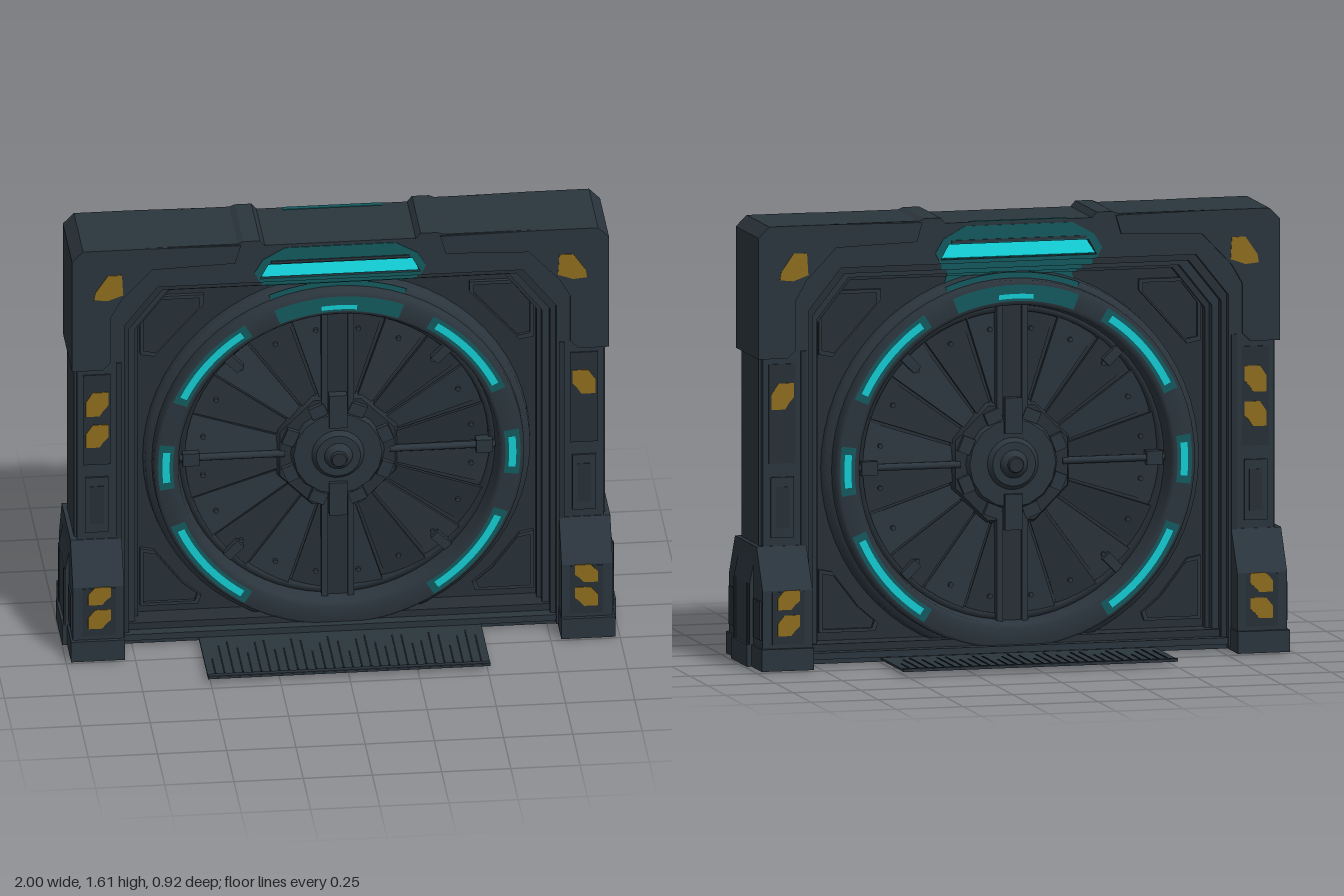
import * as THREE from 'three';

const material = (name, color) => {
  const m = new THREE.MeshStandardMaterial({ color });
  m.name = name;
  return m;
};

export function createModel() {
  const hull = material('dark hull', 0x2b353d);
  const panel = material('panel steel', 0x262f36);
  const groove = material('groove black', 0x14191d);
  const cyan = material('cyan light', 0x13cad1);
  const glow = material('dim teal glow', 0x13595d);
  const yellow = material('worn yellow', 0x8c6b1e);

  const root = new THREE.Group();
  root.name = 'blastGate';

  const add = (parent, name, geo, mat, x = 0, y = 0, z = 0) => {
    const m = new THREE.Mesh(geo, mat);
    m.name = name;
    m.position.set(x, y, z);
    parent.add(m);
    return m;
  };
  const box = (parent, name, mat, w, h, d, x, y, z) =>
    add(parent, name, new THREE.BoxGeometry(w, h, d), mat, x, y, z);
  // Outline extruded from z0 to z1, with an optional hole
  const prism = (pts, z0, z1, hole) => {
    const s = new THREE.Shape(pts.map(([x, y]) => new THREE.Vector2(x, y)));
    if (hole) s.holes.push(new THREE.Path(hole.map(([x, y]) => new THREE.Vector2(x, y))));
    const g = new THREE.ExtrudeGeometry(s, { depth: z1 - z0, bevelEnabled: false });
    return g.translate(0, 0, z0);
  };
  const flip = (pts, s) => pts.map(([x, y]) => [x * s, y]);
  const both = (pts) => [...pts, ...flip(pts, -1).reverse()];
  const shrink = (pts, k) => {
    const cx = pts.reduce((a, p) => a + p[0], 0) / pts.length;
    const cy = pts.reduce((a, p) => a + p[1], 0) / pts.length;
    return pts.map(([x, y]) => [cx + (x - cx) * k, cy + (y - cy) * k]);
  };
  // Half of the chamfered doorway, from foot to lintel
  const opening = (w, h) => [[w, 0.01], [w, h - 0.15], [w - 0.12, h]];
  const arch = (outer, inner) => [...both(outer), ...both(inner).reverse()];
  const lampSlot = both([[0.29, 1.455], [0.26, 1.51]]);

  // Outer frame with a lamp slot, three stepped liners and the deep-set wall
  add(root, 'outerFrame', prism(arch(
    [[0.95, 0.01], [0.95, 1.5], [0.9, 1.588]], opening(0.78, 1.44)), -0.147, 0.147, lampSlot), hull);
  box(root, 'lampSlotBack', glow, 0.6, 0.08, 0.23, 0, 1.483, 0);
  add(root, 'frameStepOuter', prism(arch(opening(0.79, 1.45), opening(0.76, 1.415)), -0.122, 0.122), panel);
  add(root, 'frameStepMiddle', prism(arch(opening(0.77, 1.43), opening(0.735, 1.395)), -0.085, 0.085), hull);
  add(root, 'frameStepInner', prism(arch(opening(0.745, 1.405), opening(0.72, 1.38)), -0.045, 0.045), panel);
  add(root, 'doorWall', prism(both(opening(0.76, 1.42)), -0.01, 0.01), panel);
  box(root, 'sill', hull, 1.6, 0.024, 0.28, 0, 0.032, 0);
  box(root, 'sillStep', panel, 1.52, 0.03, 0.2, 0, 0.055, 0);
  for (const z of [-0.11, 0, 0.11]) box(root, 'sillRail', hull, 1.56, 0.018, 0.035, 0, 0.012, z);

  for (const s of [1, -1]) {
    // Armoured upper corner
    add(root, 'cornerBlock', prism(flip([[0.97, 1.12], [0.97, 1.56], [0.93, 1.6], [0.72, 1.6],
      [0.36, 1.595], [0.38, 1.525], [0.68, 1.515], [0.79, 1.4], [0.83, 1.33], [0.83, 1.15], [0.86, 1.12]], s),
    -0.157, 0.157), hull);
    add(root, 'beamClamp', prism(flip([[0.27, 1.585], [0.29, 1.608], [0.35, 1.608], [0.37, 1.6], [0.72, 1.6],
      [0.72, 1.585]], s), -0.15, 0.15), hull);
    // Splayed foot
    const foot = prism(both([[0.235, 0.03], [0.235, 0.29], [0.15, 0.44]]), -0.0925, 0.0925).rotateY(Math.PI / 2);
    add(root, 'foot', foot, hull, s * 0.8825, 0, 0);
    add(root, 'sideButtress', prism(flip([[0.9, 0], [0.99, 0], [0.99, 0.3], [0.965, 0.43], [0.9, 0.43]], s),
      -0.11, 0.11), hull);
    box(root, 'footPad', hull, 0.195, 0.08, 0.5, s * 0.885, 0.04, 0);
    box(root, 'footCap', hull, 0.1, 0.08, 0.22, s * 0.95, 0.04, 0);
    box(root, 'columnSidePlate', hull, 0.012, 0.68, 0.24, s * 0.953, 0.78, 0);
    for (const z of [-1, 1]) {
      box(root, 'footSidePanel', panel, 0.012, 0.14, 0.09, s * 0.975, 0.18, z * 0.17);
      box(root, 'buttressRib', panel, 0.012, 0.3, 0.025, s * 0.988, 0.15, z * 0.09);
    }
  }
  // Light spill on the top
  box(root, 'topSpill', glow, 0.36, 0.004, 0.02, 0, 1.588, -0.137);

  const cy = 0.695;
  const ringSeg = (parent, name, mat, r0, r1, mid, half, z) => add(parent, name,
    new THREE.RingGeometry(r0, r1, 24, 1, THREE.MathUtils.degToRad(mid - half), THREE.MathUtils.degToRad(2 * half)),
    mat, 0, cy, z);

  // One face of the gate, repeated front and back
  const buildFace = (side) => {
    const f = new THREE.Group();
    f.name = side > 0 ? 'frontFace' : 'backFace';
    if (side < 0) f.rotation.y = Math.PI;
    root.add(f);

    // Round door rim
    const lathe = (pts) => new THREE.LatheGeometry(pts.map(([r, z]) => new THREE.Vector2(r, z)), 64)
      .rotateX(Math.PI / 2);
    add(f, 'outerCollar', lathe([[0.7, 0.005], [0.695, 0.055], [0.65, 0.06]]), hull, 0, cy);
    add(f, 'doorRing', lathe([[0.672, 0.05], [0.67, 0.095], [0.657, 0.112], [0.595, 0.112], [0.58, 0.1], [0.565, 0.005]]),
      hull, 0, cy);

    // Deep-set door disc
    const door = new THREE.Group();
    door.name = 'doorDisc';
    door.position.set(0, cy, -0.048);
    f.add(door);
    add(door, 'innerRing', lathe([[0.575, 0.062], [0.57, 0.085], [0.55, 0.085], [0.545, 0.055]]), panel);
    add(door, 'bladeBacking', new THREE.CircleGeometry(0.57, 48), panel, 0, 0, 0.062);

    // Fan of overlapping tilted blades
    for (let i = 0; i < 20; i++) {
      const arm = new THREE.Group();
      arm.name = 'blade';
      arm.position.z = 0.07;
      arm.rotation.z = ((i + 0.5) / 20) * Math.PI * 2;
      door.add(arm);
      const b = add(arm, 'bladePlate', prism([[0.18, -0.024], [0.55, -0.081], [0.55, 0.081], [0.18, 0.024]],
        -0.006, 0.006), i % 2 ? hull : panel);
      b.rotation.x = 0.12;
      const rivet = add(arm, 'bladeRivet', new THREE.CylinderGeometry(0.009, 0.009, 0.02, 8), hull, 0.49, 0, 0.008);
      rivet.rotation.x = Math.PI / 2;
    }

    // Spokes and clamps
    for (const s of [1, -1]) {
      box(door, 'verticalSpoke', panel, 0.1, 0.4, 0.03, 0, s * 0.375, 0.08);
      for (const x of [-0.047, 0.047]) box(door, 'spokeRail', hull, 0.022, 0.4, 0.05, x, s * 0.375, 0.085);
      box(door, 'spokeClamp', hull, 0.065, 0.13, 0.06, 0, s * 0.175, 0.1);
      const rod = add(door, 'horizontalSpoke', new THREE.CylinderGeometry(0.013, 0.013, 0.38, 10), hull, s * 0.38, 0, 0.09);
      rod.rotation.z = Math.PI / 2;
      box(door, 'rodMount', hull, 0.06, 0.05, 0.04, s * 0.53, 0, 0.09);
    }
    for (const a of [45, 135, 225, 315]) {
      const r = THREE.MathUtils.degToRad(a);
      const lock = box(door, 'rimLock', hull, 0.07, 0.035, 0.03, Math.cos(r) * 0.53, Math.sin(r) * 0.53, 0.09);
      lock.rotation.z = r;
    }

    // Hub with a domed boss
    const disc = (name, mat, r0, r1, h, z, n) => {
      const m = add(door, name, new THREE.CylinderGeometry(r1, r0, h, n).rotateX(Math.PI / 2), mat, 0, 0, z);
      m.rotation.z = Math.PI / 8;
    };
    disc('hubPlate', panel, 0.24, 0.225, 0.03, 0.08, 8);
    disc('hubRing', hull, 0.175, 0.16, 0.03, 0.1, 16);
    disc('hubCone', hull, 0.11, 0.08, 0.035, 0.115, 24);
    add(door, 'hubDome', new THREE.SphereGeometry(0.058, 24, 16), hull, 0, 0, 0.105);
    disc('hubTip', panel, 0.032, 0.026, 0.016, 0.158, 16);
    for (let i = 0; i < 8; i++) {
      const a = (i + 0.5) * Math.PI / 4;
      const lug = box(door, 'hubLug', hull, 0.045, 0.06, 0.03, Math.cos(a) * 0.185, Math.sin(a) * 0.185, 0.1);
      lug.rotation.z = a;
    }

    // Ring lights with their glow
    for (const [mid, half] of [[41, 16], [139, 16], [0, 6.5], [180, 6.5], [220, 17], [320, 17]]) {
      ringSeg(f, 'ringGlow', glow, 0.6, 0.654, mid, half + 1.5, 0.1135);
      ringSeg(f, 'ringLight', cyan, 0.613, 0.639, mid, half - 1, 0.115);
    }
    ringSeg(f, 'topRingGlow', glow, 0.596, 0.655, 90, 21, 0.1128);
    ringSeg(f, 'topRingLight', cyan, 0.605, 0.622, 90, 6, 0.115);
    ringSeg(f, 'topCollarGlow', glow, 0.674, 0.694, 90, 21, 0.061);
    add(f, 'wallGlow', prism(both([[0.25, 1.3], [0.23, 1.39]]), 0.009, 0.014), glow);

    // Lintel lamp, leaning back in its slot, and its glow
    add(f, 'lintelGlow', prism(both([[0.29, 1.441], [0.31, 1.48], [0.28, 1.53], [0.2, 1.575]]), 0.146, 0.15, lampSlot), glow);
    box(f, 'stepGlow', glow, 0.56, 0.024, 0.004, 0, 1.428, 0.123);
    box(f, 'stepGlow', glow, 0.5, 0.02, 0.004, 0, 1.405, 0.086);
    box(f, 'stepGlow', glow, 0.48, 0.015, 0.004, 0, 1.388, 0.046);
    const lamp = add(f, 'lintelLamp', prism(both([[0.285, -0.026], [0.26, 0.026]]), -0.005, 0.004), cyan, 0, 1.482, 0.132);
    lamp.rotation.x = -0.5;
    box(f, 'lampHood', hull, 0.5, 0.01, 0.008, 0, 1.52, 0.151);

    for (const s of [1, -1]) {
      // Corner panels around the round door
      const upper = [[0.71, 1.11], [0.71, 1.25], [0.64, 1.34], [0.48, 1.34], [0.48, 1.3], [0.57, 1.2], [0.66, 1.1]];
      const lower = [[0.71, 0.33], [0.71, 0.1], [0.5, 0.1], [0.49, 0.13], [0.56, 0.19], [0.66, 0.32]];
      for (const pts of [upper, lower]) {
        const p = flip(pts, s);
        add(f, 'cornerPanelRim', prism(p, 0.008, 0.026, shrink(p, 0.88)), hull);
        add(f, 'cornerPanel', prism(shrink(p, 0.88), 0.005, 0.013), panel);
      }
      // Column hatch, spine and foot panel
      box(f, 'columnHatch', hull, 0.085, 0.22, 0.016, s * 0.88, 0.58, 0.147);
      box(f, 'hatchInset', panel, 0.05, 0.15, 0.004, s * 0.88, 0.58, 0.1555);
      box(f, 'columnPlate', panel, 0.1, 0.36, 0.01, s * 0.88, 0.92, 0.147);
      box(f, 'columnSpine', panel, 0.02, 1.05, 0.01, s * 0.8, 0.62, 0.147);
      box(f, 'footPanel', panel, 0.12, 0.19, 0.01, s * 0.88, 0.19, 0.233);
      // Hazard paint
      add(f, 'hazardTriangle', prism(flip([[0.785, 1.42], [0.84, 1.4], [0.89, 1.405], [0.885, 1.435], [0.84, 1.5],
        [0.79, 1.5]], s), 0.156, 0.16), yellow);
      const mark = (y, h, z) => add(f, 'hazardMark', prism(flip([[0.92, y], [0.92, y + h * 0.6], [0.895, y + h],
        [0.838, y + h], [0.838, y + h * 0.45], [0.855, y + h * 0.25], [0.87, y]], s), z, z + 0.004), yellow);
      mark(0.935, 0.095, 0.151);
      if (s * side < 0) mark(0.81, 0.09, 0.151);
      mark(0.22, 0.07, 0.237);
      mark(0.125, 0.075, 0.237);
    }

    // Threshold ramp with worn slats
    box(f, 'rampPlate', hull, 1.02, 0.008, 0.32, 0, 0.015, 0.298);
    box(f, 'rampLip', panel, 1.02, 0.004, 0.02, 0, 0.02, 0.447);
    for (let i = 0; i < 30; i++) {
      const len = 0.12 + 0.13 * Math.abs(Math.sin(i * 2.3));
      box(f, 'rampGroove', groove, 0.006, 0.003, len, -0.48 + i * 0.0331, 0.0195, 0.43 - len / 2);
    }
  };
  buildFace(1);
  buildFace(-1);
  return root;
}
